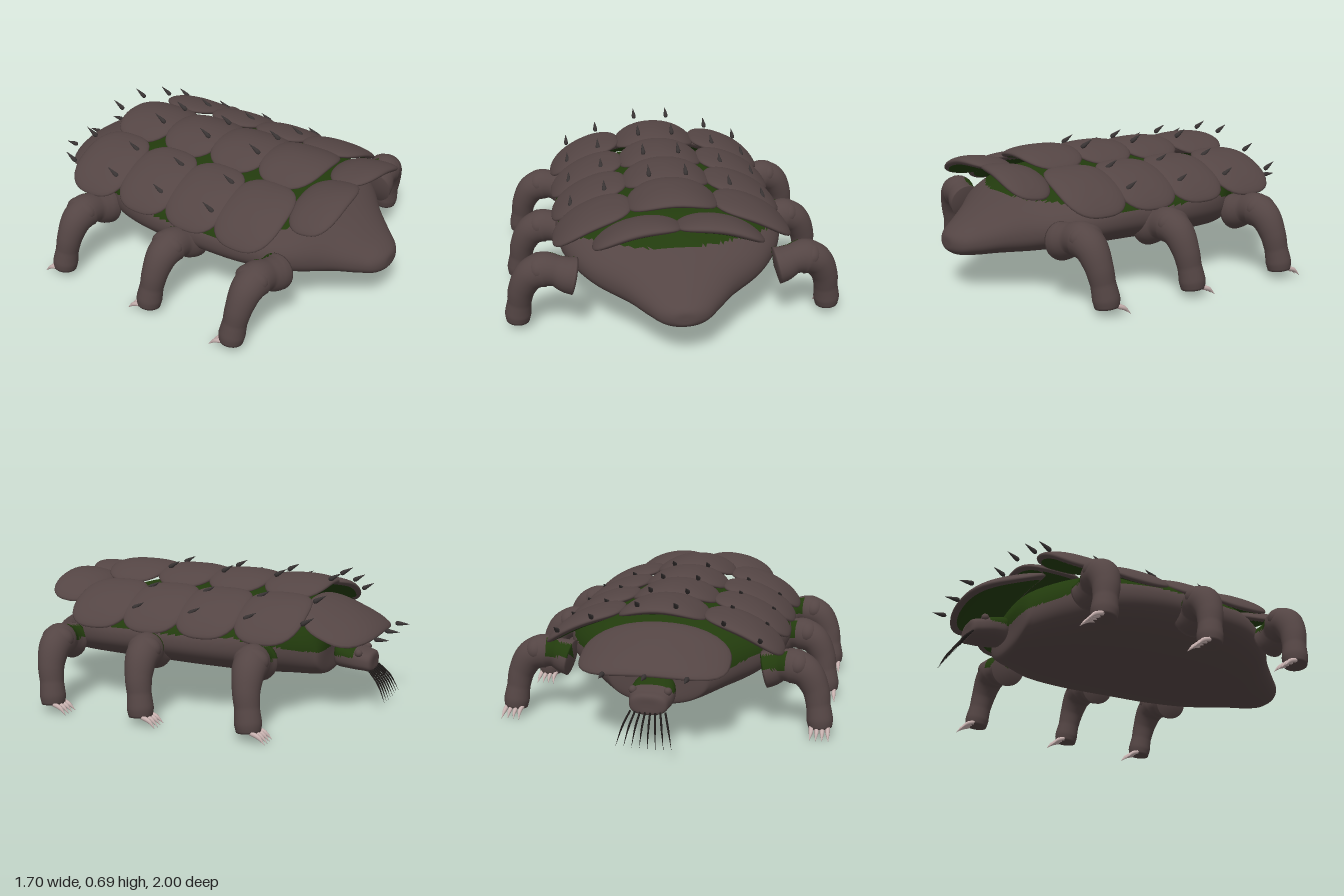
import * as THREE from 'three';
import { mergeVertices } from 'three/addons/utils/BufferGeometryUtils.js';

const material = (name, color) => {
  const m = new THREE.MeshStandardMaterial({ color });
  m.name = name;
  return m;
};

// Weld seams, smooth the normals and give faces that pass the test the second material
function finish(geo, isMoss = () => false) {
  geo.deleteAttribute('uv');
  geo.deleteAttribute('normal');
  const g = mergeVertices(geo, 1e-5);
  g.computeVertexNormals();
  const p = g.attributes.position, parts = [[], []];
  const c = new THREE.Vector3(), v = new THREE.Vector3();
  for (let i = 0; i < g.index.count; i += 3) {
    const tri = [0, 1, 2].map(k => g.index.getX(i + k));
    c.set(0, 0, 0);
    tri.forEach(k => c.add(v.fromBufferAttribute(p, k)));
    parts[isMoss(c.divideScalar(3)) ? 1 : 0].push(...tri);
  }
  g.setIndex([...parts[0], ...parts[1]]);
  g.clearGroups();
  g.addGroup(0, parts[0].length, 0);
  if (parts[1].length) g.addGroup(parts[0].length, parts[1].length, 1);
  return g;
}

// Closed loft along z; sections are [z, half width, bottom, top], from front to back
function loft(sections, power, around, along, isMoss) {
  const low = new THREE.CatmullRomCurve3(sections.map(([z, w, b]) => new THREE.Vector3(w, b, z)));
  const high = new THREE.CatmullRomCurve3(sections.map(([z, w, , t]) => new THREE.Vector3(w, t, z)));
  const geo = new THREE.SphereGeometry(1, around, along);
  const { position: p, uv } = geo.attributes;
  const round = n => Math.sign(n) * Math.abs(n) ** (2 / power);
  for (let i = 0; i < p.count; i++) {
    const t = THREE.MathUtils.clamp(1 - uv.getY(i), 0, 1), a = uv.getX(i) * Math.PI * 2;
    const b = low.getPoint(t), h = high.getPoint(t);
    const mid = b.y + 0.48 * (h.y - b.y), s = -round(Math.sin(a));
    p.setXYZ(i, -round(Math.cos(a)) * Math.max(b.x, 0), mid + s * (s > 0 ? h.y - mid : mid - b.y), b.z);
  }
  return finish(geo, isMoss);
}

// Tube with a changing radius; points are [x, y, z, radius]
function taper(points, rings, sides, isMoss) {
  const curve = new THREE.CatmullRomCurve3(points.map(q => new THREE.Vector3(q[0], q[1], q[2])));
  const geo = new THREE.TubeGeometry(curve, rings, 1, sides);
  const { position: p, normal: n } = geo.attributes;
  for (let j = 0, i = 0; j <= rings; j++) {
    const u = j / rings, c = curve.getPointAt(u);
    const t = curve.getUtoTmapping(u) * (points.length - 1);
    const k = Math.min(Math.floor(t), points.length - 2);
    const r = j === rings ? points.at(-1)[3] : THREE.MathUtils.lerp(points[k][3], points[k + 1][3], t - k);
    for (let s = 0; s <= sides; s++, i++)
      p.setXYZ(i, c.x + n.getX(i) * r, c.y + n.getY(i) * r, c.z + n.getZ(i) * r);
  }
  return finish(geo, isMoss);
}

// Rounded-square shell plate, bent across x, with a mossy underside
function plateGeometry(hx, hz, thick, bend) {
  const geo = new THREE.SphereGeometry(1, 40, 18), p = geo.attributes.position, n = 2.75;
  for (let i = 0; i < p.count; i++) {
    const x = p.getX(i), y = p.getY(i), z = p.getZ(i), r = Math.hypot(x, z);
    const s = r < 1e-6 ? 0 : (Math.abs(x / r) ** n + Math.abs(z / r) ** n) ** (-1 / n);
    p.setXYZ(i, hx * x * s, thick * y - bend * (hx * x * s) ** 2, hz * z * s);
  }
  return finish(geo, c => c.y + bend * c.x * c.x < -0.55 * thick);
}

export function createModel() {
  const root = new THREE.Group();
  const hide = material('brown hide', 0x544544), moss = material('green moss', 0x223b0d);
  const horn = material('dark horn', 0x383333), claw = material('pale claw', 0xc8b2b0);
  const hair = material('black bristle', 0x1f1b1a);
  const skin = [hide, moss];
  const add = (name, geo, mat, x = 0, y = 0, z = 0, parent = root) => {
    const m = new THREE.Mesh(geo, mat);
    m.name = name;
    m.position.set(x, y, z);
    parent.add(m);
    return m;
  };

  // Broad flat body; the moss line rises at the front and falls at the back
  const mossLine = z => 0.41 + 0.045 * THREE.MathUtils.smoothstep(z, 0.35, 0.6) + 0.3 * Math.min(z + 0.3, 0);
  add('body', loft([
    [1, 0, 0.23, 0.23], [0.995, 0.06, 0.2, 0.27], [0.965, 0.12, 0.178, 0.3], [0.9, 0.18, 0.17, 0.34],
    [0.8, 0.27, 0.172, 0.4], [0.65, 0.44, 0.18, 0.475], [0.45, 0.55, 0.188, 0.54], [0.2, 0.58, 0.188, 0.56],
    [-0.1, 0.58, 0.18, 0.565], [-0.35, 0.51, 0.167, 0.555], [-0.5, 0.39, 0.16, 0.52],
    [-0.62, 0.27, 0.155, 0.45], [-0.648, 0.23, 0.165, 0.39], [-0.653, 0, 0.28, 0.28],
  ], 2.2, 120, 96, c => c.y > mossLine(c.z)), skin);

  // Small head piece at the back, with knob eyes
  add('head', loft([
    [-0.68, 0, 0.26, 0.26], [-0.685, 0.09, 0.2, 0.33], [-0.76, 0.11, 0.19, 0.315],
    [-0.83, 0.1, 0.185, 0.292], [-0.868, 0.085, 0.183, 0.28], [-0.875, 0, 0.23, 0.23],
  ], 2.6, 48, 40, c => c.y > 0.265 && c.z > -0.79), skin);
  for (const s of [-1, 1])
    add('eye', new THREE.SphereGeometry(0.02, 16, 12), hide, s * 0.085, 0.285, -0.81);

  // Bristle fan under the head
  for (let i = 0; i < 8; i++) {
    const k = (i - 3.5) / 3.5;
    add('bristle', taper([[k * 0.085, 0.2, -0.868, 0.005], [k * 0.11, 0.14, -0.925, 0.005],
      [k * 0.135, 0.05, -0.97, 0]], 10, 6), [hair]);
  }

  // Shell plates: four rows of three
  const middle = plateGeometry(0.225, 0.176, 0.036, 1.1);
  const side = plateGeometry(0.217, 0.176, 0.036, 0.7);
  [0.448, 0.145, -0.155, -0.472].forEach((z, i) => {
    add('middlePlate', middle, skin, 0, 0.642 - i * 0.005, z);
    for (const s of [-1, 1])
      add('sidePlate', side, skin, s * 0.416, 0.53, z).rotation.z = -s * 0.43;
  });
  const end = plateGeometry(0.217, 0.134, 0.036, 0.9);
  for (const s of [-1, 1])
    add('frontPlate', end, skin, s * 0.208, 0.58, 0.713).rotation.set(-0.14, 0, -s * 0.2);
  add('rearPlate', plateGeometry(0.37, 0.2, 0.04, 0.5), skin, 0, 0.47, -0.735).rotation.x = -0.4;

  // Teardrop spikes along the back edge of each row
  const spike = new THREE.LatheGeometry([[0, 0], [0.01, 0.006], [0.0125, 0.018], [0.007, 0.048], [0, 0.08]]
    .map(q => new THREE.Vector2(...q)), 12);
  for (const z of [0.265, -0.05, -0.35, -0.645])
    for (const [x, y] of [[0.095, 0.653], [0.325, 0.58], [0.5, 0.503]])
      for (const s of [-1, 1]) add('spike', spike, horn, s * x, y, z).rotation.x = -1.05;
  for (const x of [-0.2, 0, 0.2]) add('rearSpike', spike, horn, x, 0.395, -0.92).rotation.x = -1.57;

  // Six bent legs with four claws each, and a patch of moss behind the shoulder
  const leg = s => taper([
    [0.488, 0.3, 0.02, 0], [0.492, 0.3, 0.02, 0.095], [0.53, 0.31, 0.02, 0.09], [0.585, 0.33, 0.012, 0.076],
    [0.645, 0.336, 0, 0.088], [0.71, 0.308, -0.008, 0.08], [0.758, 0.23, -0.018, 0.067],
    [0.775, 0.15, -0.03, 0.06], [0.785, 0.08, -0.04, 0.066], [0.788, 0.04, -0.043, 0.058], [0.789, 0.03, -0.044, 0],
  ].map(q => [s * q[0], ...q.slice(1)]), 48, 24, c => Math.abs(c.x) < 0.61 && c.y > 0.33 && c.z < -0.015);
  for (const s of [-1, 1]) {
    const limb = leg(s);
    for (const z of [0.615, 0.11, -0.46]) {
      const g = new THREE.Group();
      g.name = 'leg';
      g.position.z = z;
      root.add(g);
      add('limb', limb, skin, 0, 0, 0, g);
      // Folded skin over the knee
      add('kneeFold', new THREE.SphereGeometry(1, 24, 16), hide, s * 0.67, 0.35, -0.005, g)
        .scale.set(0.062, 0.066, 0.088);
      for (let i = 0; i < 4; i++) {
        const x = 0.746 + i * 0.027;
        add('claw', taper([[s * x, 0.05, -0.07, 0.012], [s * (x + 0.002), 0.035, -0.11, 0.011],
          [s * (x + 0.004 * (i - 1)), 0.002, -0.145, 0]], 10, 8), [claw], 0, 0, 0, g);
      }
    }
  }
  return root;
}
